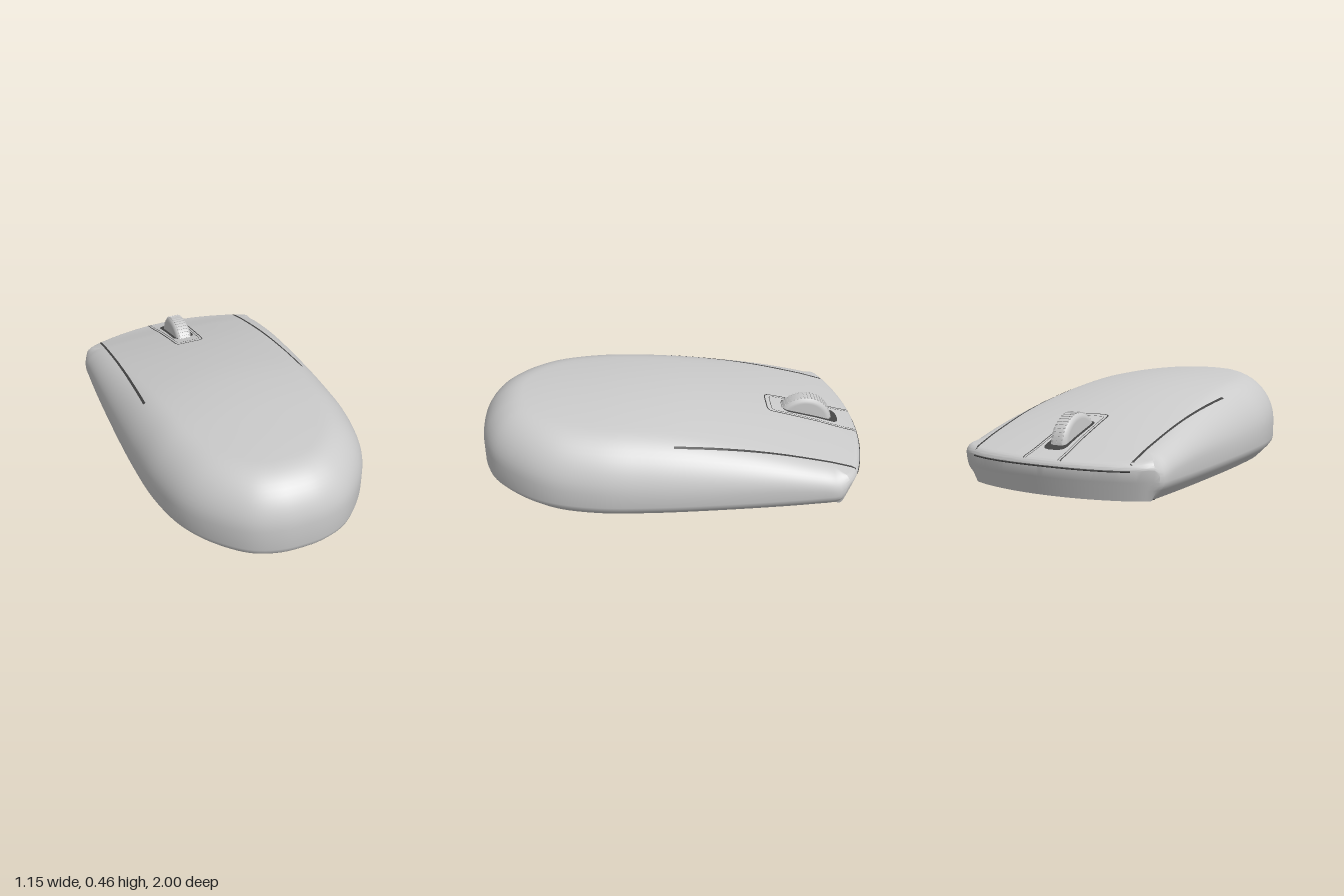
import * as THREE from 'three';
import { toCreasedNormals } from 'three/addons/utils/BufferGeometryUtils.js';

const { lerp, smoothstep, clamp } = THREE.MathUtils;
const V2 = (x, y) => new THREE.Vector2(x, y);
const mat = (color, side = THREE.FrontSide) => new THREE.MeshStandardMaterial({ color, side });

// Centre-line height every 0.25 along z, from the button end to the palm end
const crest = new THREE.SplineCurve([0.185, 0.26, 0.33, 0.387, 0.43, 0.453, 0.46, 0.457, 0.44]
  .map((y, i) => V2(-1 + i * 0.25, y)));
const topY = (x, z) => crest.getPoint(clamp((z + 1) / 2, 0, 1)).y
  - lerp(0.1, 0.2, smoothstep(z, -1, 0)) * x * x;

// Plan outline with outward normals and the edge rounding at each point
function makeOutline(count) {
  const half = [[0, -1], [0.2, -0.985], [0.4, -0.935], [0.5, -0.885], [0.54, -0.835], [0.555, -0.7],
    [0.57, -0.3], [0.57, 0.15], [0.55, 0.42], [0.49, 0.65], [0.39, 0.81], [0.25, 0.94], [0.12, 0.99], [0, 1]];
  const all = [...half, ...half.slice(1, -1).reverse().map(([x, z]) => [-x, z])];
  const curve = new THREE.CatmullRomCurve3(all.map(([x, z]) => new THREE.Vector3(x, 0, z)), true);
  return Array.from({ length: count }, (_, i) => {
    const p = curve.getPointAt(i / count), d = curve.getTangentAt(i / count);
    const face = smoothstep(-(-d.x), 0.3, 0.8); // 1 on the flat button end
    const back = smoothstep(p.z, -0.95, 0.25);
    return {
      x: p.x, z: p.z, nx: d.z, nz: -d.x, face,
      rx: lerp(lerp(0.1, 0.21, back), 0.03, face),
      ry: lerp(lerp(0.08, 0.22, back), 0.03, face),
    };
  });
}

// Shell: rings from the base centre, up the chamfer and wall, over the rounded edge to the crest
function makeShell(outline) {
  const rings = [];
  const inset = (p, e) => [p.x - p.nx * e, p.z - p.nz * e];
  const lower = [[0.01, 0.07], [0.06, 0.02], [0.08, 0.005], [0.1, 0]];
  const spine = ([x, z], t) => [lerp(x, 0, t), lerp(z, clamp(z, -0.93, 0.7), t)];
  rings.push(outline.map((p) => {
    const [x, z] = spine(inset(p, 0.07), 1);
    return [x, 0.01, z];
  }));
  for (const [y, e] of lower) {
    rings.push(outline.map((p) => {
      const [x, z] = inset(p, lerp(e, 0.045 * (1 - (y - 0.01) / 0.145), p.face));
      return [x, y, z];
    }));
  }
  const steps = 12;
  for (let k = 0; k <= steps; k++) {
    const a = (k / steps) * Math.PI / 2;
    rings.push(outline.map((p) => {
      const [x, z] = inset(p, p.rx * (1 - Math.cos(a)));
      return [x, topY(x, z) - p.ry * (1 - Math.sin(a)), z];
    }));
  }
  for (let k = 1; k <= 8; k++) {
    rings.push(outline.map((p) => {
      const [x, z] = spine(inset(p, p.rx), k / 8);
      return [x, topY(x, z), z];
    }));
  }
  const n = outline.length, index = [];
  for (let j = 0; j < rings.length - 1; j++) {
    for (let i = 0; i < n; i++) {
      const a = j * n + i, b = j * n + (i + 1) % n;
      index.push(a, a + n, b, b, a + n, b + n);
    }
  }
  const g = new THREE.BufferGeometry();
  g.setAttribute('position', new THREE.Float32BufferAttribute(rings.flat(2), 3));
  g.setIndex(index);
  return toCreasedNormals(g, 0.5);
}

// Strip laid on the shell along plan points; width may vary along it
function drapedStrip(shell, points, width, lift = 0.002) {
  const ray = new THREE.Raycaster(), down = new THREE.Vector3(0, -1, 0);
  const drop = (x, z) => {
    ray.set(new THREE.Vector3(x, 2, z), down);
    const hit = ray.intersectObject(shell)[0];
    return (hit ? hit.point.y : topY(x, z)) + lift;
  };
  const pos = [], index = [], last = points.length - 1;
  points.forEach((p, i) => {
    const d = points[Math.min(i + 1, last)].clone().sub(points[Math.max(i - 1, 0)]).normalize();
    const w = width(i / last) / 2;
    for (const s of [-1, 0, 1]) {
      const x = p.x - d.y * w * s, z = p.y + d.x * w * s;
      pos.push(x, drop(x, z), z);
    }
    if (i < last) {
      for (const a of [i * 3, i * 3 + 1]) index.push(a, a + 1, a + 3, a + 1, a + 4, a + 3);
    }
  });
  const g = new THREE.BufferGeometry();
  g.setAttribute('position', new THREE.Float32BufferAttribute(pos, 3));
  g.setIndex(index);
  g.computeVertexNormals();
  return g;
}

// Flat glide pad: a stroke with round ends along a plan curve
function makePad(points, width) {
  const c = new THREE.SplineCurve(points.map(([x, z]) => V2(x, z))), n = 32, left = [], right = [];
  const r = width / 2;
  for (let i = 0; i <= n; i++) {
    const p = c.getPoint(i / n), d = c.getTangent(i / n);
    left.push(V2(p.x - d.y * r, p.y + d.x * r));
    right.unshift(V2(p.x + d.y * r, p.y - d.x * r));
  }
  const cap = (t, sign) => {
    const p = c.getPoint(t), a0 = c.getTangent(t).angle() + sign * Math.PI / 2;
    return Array.from({ length: 7 }, (_, k) => {
      const a = a0 - (k + 1) * Math.PI / 8;
      return V2(p.x + Math.cos(a) * r, p.y + Math.sin(a) * r);
    });
  };
  const shape = new THREE.Shape([...left, ...cap(1, 1), ...right, ...cap(0, -1)]);
  return new THREE.ExtrudeGeometry(shape, { depth: 0.014, bevelEnabled: false })
    .rotateX(Math.PI / 2).translate(0, 0.014, 0);
}

export function createModel() {
  const model = new THREE.Group();
  const add = (name, geometry, material, parent = model) => {
    const m = new THREE.Mesh(geometry, material);
    m.name = name;
    parent.add(m);
    return m;
  };
  const grey = mat(0xcccccc), black = mat(0x111111), gap = mat(0x444444, THREE.DoubleSide);

  const outline = makeOutline(200);
  const shell = add('shell', makeShell(outline), grey);

  // Long gaps beside the two buttons
  for (const s of [-1, 1]) {
    const line = new THREE.LineCurve(V2(s * 0.425, -0.915), V2(s * 0.45, 0.02)).getPoints(40);
    add(s > 0 ? 'leftButtonGap' : 'rightButtonGap', drapedStrip(shell, line, () => 0.012), gap);
  }

  // Outlines of the centre panel around the wheel
  const panel = (x0, x1, zEnd, r) => {
    const s = new THREE.Path();
    s.moveTo(-x0, -0.985).lineTo(-x1, zEnd - r);
    s.quadraticCurveTo(-x1, zEnd, -x1 + r, zEnd).lineTo(x1 - r, zEnd);
    s.quadraticCurveTo(x1, zEnd, x1, zEnd - r).lineTo(x0, -0.985);
    return s.getSpacedPoints(90);
  };
  add('centrePanelOuterGap', drapedStrip(shell, panel(0.1, 0.08, -0.505, 0.03), () => 0.006), gap);
  add('centrePanelInnerGap', drapedStrip(shell, panel(0.086, 0.066, -0.53, 0.02), () => 0.003), gap);

  // Wheel slot with rounded ends
  const slotLine = new THREE.LineCurve(V2(0, -0.9), V2(0, -0.59)).getPoints(40);
  const slotWidth = (t) => {
    const d = Math.min(t, 1 - t) * 0.31, r = 0.04;
    return 0.04 + 0.08 * (d < r ? Math.sqrt(1 - (1 - d / r) ** 2) : 1);
  };
  add('wheelSlot', drapedStrip(shell, slotLine, slotWidth, 0.003), gap);

  // Scroll wheel with a ribbed tread
  const wheel = new THREE.Group();
  wheel.name = 'scrollWheel';
  wheel.position.set(0, 0.215, -0.71);
  const profile = [[0, -0.045], [0.12, -0.045], [0.135, -0.042], [0.145, -0.032], [0.148, -0.02],
    [0.148, 0.02], [0.145, 0.032], [0.135, 0.042], [0.12, 0.045], [0, 0.045]].map(([r, y]) => V2(r, y));
  add('wheelBody', new THREE.LatheGeometry(profile, 64).rotateZ(Math.PI / 2), grey, wheel);
  const rib = new THREE.BoxGeometry(0.06, 0.008, 0.008).translate(0, 0.147, 0);
  for (let i = 0; i < 48; i++) {
    add('wheelRib', rib, grey, wheel).rotation.x = (i / 48) * Math.PI * 2;
  }
  model.add(wheel);

  // Seam beneath the button lip
  const lip = outline.filter((p) => p.z < -0.8 && Math.abs(p.x) < 0.44).sort((a, b) => a.x - b.x)
    .map((p) => new THREE.Vector3(p.x, topY(p.x, p.z) - p.ry, p.z));
  add('frontSeam', new THREE.TubeGeometry(new THREE.CatmullRomCurve3(lip), 60, 0.004, 6), gap);

  // Glide pads
  add('frontPad', makePad([[-0.435, -0.765], [-0.23, -0.828], [0, -0.852], [0.23, -0.828], [0.435, -0.765]], 0.055), black);
  add('rearPad', makePad([[-0.34, 0.66], [-0.25, 0.775], [-0.13, 0.836], [0, 0.855],
    [0.13, 0.836], [0.25, 0.775], [0.34, 0.66]], 0.055), black);

  return model;
}
